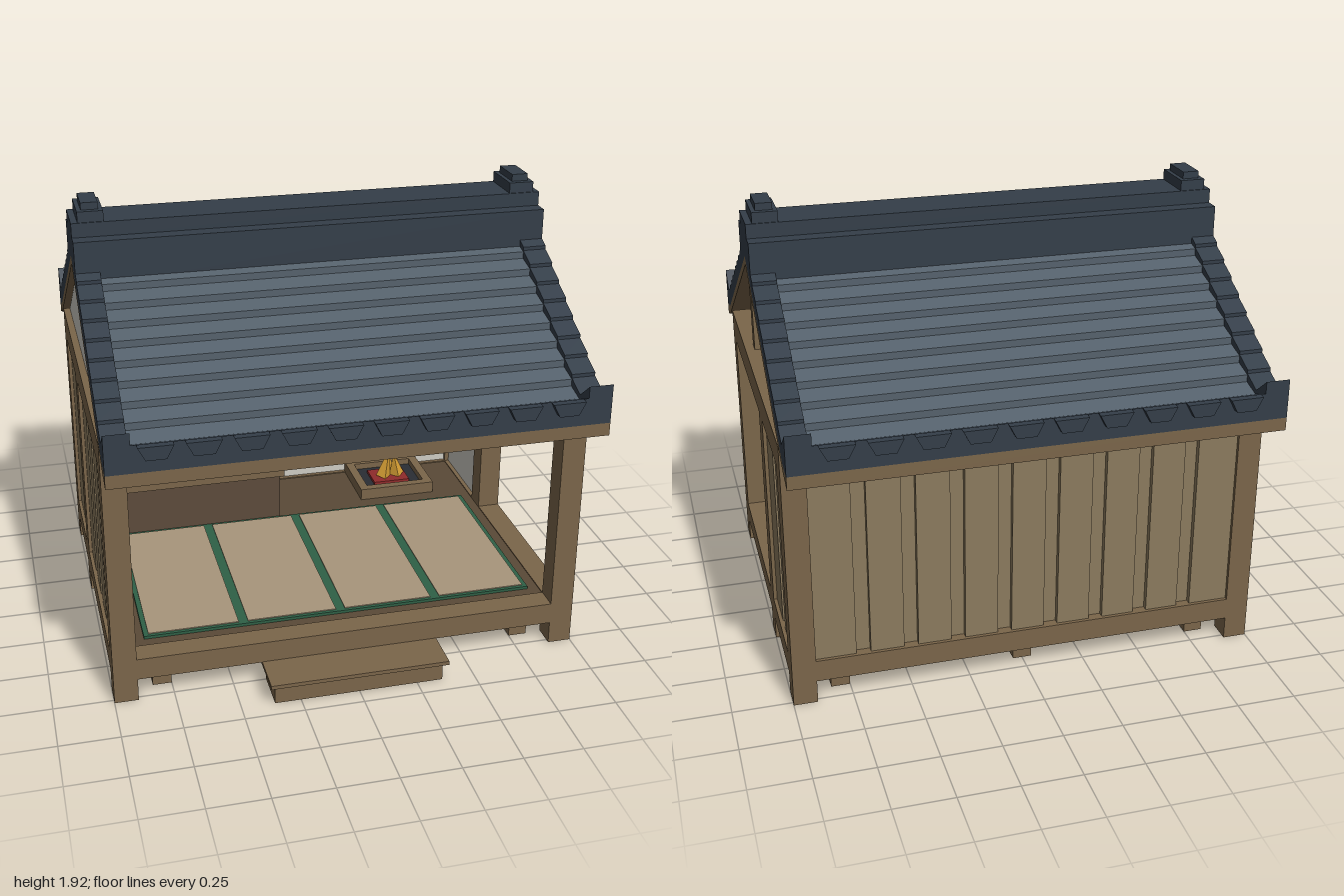
import * as THREE from 'three';

const mat = (color, extra = {}) => new THREE.MeshStandardMaterial({ color, flatShading: true, ...extra });
const M = {
  wood: mat(0x7b664a), board: mat(0x8c7b5e), plaster: mat(0xcfcdc4), under: mat(0x5a4a37),
  dark: mat(0x343e49), slate: mat(0x56626d), straw: mat(0xa8967c), green: mat(0x2f6046),
  chest: mat(0x5d4b3c), ash: mat(0x2a2e34), ember: mat(0x8f2b2b), fire: mat(0xd39c33),
};

export function createModel() {
  const root = new THREE.Group();
  const add = (name, geo, m, parent = root) => {
    const mesh = new THREE.Mesh(geo, m);
    mesh.name = name;
    parent.add(mesh);
    return mesh;
  };
  const group = (name) => {
    const g = new THREE.Group();
    g.name = name;
    root.add(g);
    return g;
  };
  // box given by its limits on each axis
  const box = (name, m, x0, x1, y0, y1, z0, z1, parent) => {
    const mesh = add(name, new THREE.BoxGeometry(x1 - x0, y1 - y0, z1 - z0), m, parent);
    mesh.position.set((x0 + x1) / 2, (y0 + y1) / 2, (z0 + z1) / 2);
    return mesh;
  };
  // [z, y] outline extruded from x0 to x1
  const prism = (name, m, pts, x0, x1, parent) => {
    const shape = new THREE.Shape(pts.map(([z, y]) => new THREE.Vector2(-z, y)));
    const geo = new THREE.ExtrudeGeometry(shape, { depth: x1 - x0, bevelEnabled: false });
    geo.rotateY(Math.PI / 2).translate(x0, 0, 0);
    return add(name, geo, m, parent);
  };

  // Posts, beams and short feet
  const frame = group('timberFrame');
  for (const s of [-1, 1]) {
    const x0 = s > 0 ? 0.9 : -1, x1 = x0 + 0.1;
    for (const [z0, z1] of [[0.67, 0.77], [-0.25, -0.15], [-0.77, -0.67]])
      box('post', M.wood, x0, x1, 0, 1.17, z0, z1, frame);
    for (const [z0, z1] of [[-0.15, 0.67], [-0.67, -0.25]]) {
      box('sideTopBeam', M.wood, x0, x1, 1.05, 1.17, z0, z1, frame);
      box('sideSill', M.wood, x0, x1, 0.1, 0.195, z0, z1, frame);
    }
    const z0 = s > 0 ? 0.67 : -0.77;
    box('longTopBeam', M.wood, -0.9, 0.9, 1.05, 1.17, z0, z0 + 0.1, frame);
    box('longSill', M.wood, -0.9, 0.9, 0.1, 0.195, z0, z0 + 0.1, frame);
    for (const x of [-0.79, 0, 0.79])
      box('foot', M.wood, x - 0.04, x + 0.04, 0, 0.1, s * 0.64 - 0.04, s * 0.64 + 0.04, frame);
  }
  box('floor', M.under, -0.9, 0.9, 0.105, 0.19, -0.67, 0.67);

  // Plaster inside, vertical boards outside
  const walls = group('walls');
  const boards = (from, to, n, place) => {
    const pitch = (to - from) / n;
    for (let i = 0; i < n; i++)
      place(from + i * pitch + (i ? 0.03 : 0), from + (i + 1) * pitch - (i < n - 1 ? 0.03 : 0));
  };
  box('backPlaster', M.plaster, -0.9, 0.9, 0.19, 1.05, -0.71, -0.69, walls);
  box('backCladding', M.board, -0.9, 0.9, 0.19, 1.05, -0.73, -0.71, walls);
  boards(-0.9, 0.9, 9, (a, b) => box('backBoard', M.board, a, b, 0.195, 1.05, -0.755, -0.73, walls));
  for (const [s, z0, z1, n] of [[-1, -0.15, 0.67, 4], [-1, -0.67, -0.25, 2], [1, -0.67, -0.25, 2]]) {
    const wall = (name, m, a, b, za, zb) =>
      box(name, m, Math.min(s * a, s * b), Math.max(s * a, s * b), 0.19, 1.05, za, zb, walls);
    wall('sidePlaster', M.plaster, 0.92, 0.94, z0, z1);
    wall('sideCladding', M.board, 0.94, 0.96, z0, z1);
    boards(z0, z1, n, (a, b) => wall('sideBoard', M.board, 0.96, 0.985, a, b));
  }
  // Closed gable on one end, open strutted gable on the other
  prism('gablePlaster', M.plaster, [[-0.77, 1.17], [0.77, 1.17], [0, 1.65]], -0.97, -0.93, walls);
  for (const z of [-0.275, 0.275]) box('gableStrut', M.wood, 0.89, 0.96, 1.17, 1.49, z - 0.032, z + 0.032, frame);
  box('gableCrossbar', M.wood, 0.895, 0.955, 1.385, 1.45, -0.245, 0.245, frame);

  // Roof: timber lining, then stepped tiles and thicker end rows on both slopes
  const roof = group('roof');
  const line = (z) => 1.68 - 0.6 * z;
  const lining = [[0.88, 1.115], [0.97, 1.085], [0.97, 1.14], [0.88, 1.152]];
  prism('roofLining', M.wood, [[0, 1.645], ...lining, [0, 1.68],
    ...lining.map(([z, y]) => [-z, y]).reverse()], -1, 1, roof);
  const steps = (lo, hi) => {
    const pts = [];
    for (let i = 0; i < 9; i++) {
      const a = 0.13 + i * 0.0835, b = a + 0.0835;
      pts.push([a, line(a) + lo], [b, line(b) + hi]);
    }
    return pts;
  };
  for (const s of [-1, 1]) {
    const side = (pts) => pts.map(([z, y]) => [s * z, y]);
    prism('tileField', M.slate, side([[0, 1.68], [0, 1.74], ...steps(0.035, 0.065), [0.88, 1.15]]), -0.9, 0.9, roof);
    prism('eaveBoard', M.dark, side([[0.86, 1.164], [0.88, 1.215], [0.97, 1.255], [0.97, 1.14], [0.88, 1.152]]), -0.9, 0.9, roof);
    for (const x of [-1, 0.9])
      prism('endTiles', M.dark, side([[0, 1.68], [0, 1.75], ...steps(0.07, 0.085), [0.885, 1.235],
        [0.97, 1.305], [0.97, 1.14], [0.88, 1.152]]), x, x + 0.1, roof);
    // Trapezoid tile ends along the eave
    for (let i = 0; i < 10; i++) {
      const shape = new THREE.Shape([[-0.04, 1.2], [0.04, 1.2], [0.068, 1.255], [-0.068, 1.255]]
        .map(([x, y]) => new THREE.Vector2(x, y)));
      const end = add('eaveTileEnd', new THREE.ExtrudeGeometry(shape, { depth: 0.03, bevelEnabled: false }), M.dark, roof);
      end.position.set(-0.81 + i * 0.18, 0, s > 0 ? 0.97 : -1);
    }
    box('ridgeOrnament', M.dark, s * 0.92 - 0.053, s * 0.92 + 0.053, 1.845, 1.89, -0.1, 0.1, roof);
    box('ridgeOrnamentTop', M.dark, s * 0.92 - 0.035, s * 0.92 + 0.035, 1.89, 1.92, -0.075, 0.075, roof);
  }
  prism('ridgeBase', M.dark, [[-0.17, 1.59], [0, 1.69], [0.17, 1.59], [0.17, 1.785], [-0.17, 1.785]], -1, 1, roof);
  box('ridgeCap', M.dark, -1, 1, 1.785, 1.845, -0.105, 0.105, roof);

  // Floor mats with cloth edging
  const mats = group('floorMats');
  box('matEdging', M.green, -0.85, 0.85, 0.19, 0.203, -0.27, 0.62, mats);
  for (let i = 0; i < 4; i++) {
    const x = -0.85 + i * 0.425;
    box('mat', M.straw, x + 0.02, x + 0.405, 0.195, 0.207, -0.255, 0.605, mats);
  }

  // Doorstep
  box('stepBlock', M.wood, -0.36, 0.36, 0, 0.085, 0.75, 0.925);
  box('stepPlank', M.wood, -0.38, 0.38, 0.085, 0.102, 0.75, 0.95);

  // Counter
  box('counterBody', M.chest, -0.9, -0.07, 0.19, 0.425, -0.67, -0.27);
  box('counterTop', M.wood, -0.9, -0.05, 0.425, 0.455, -0.68, -0.25);

  // Sunken hearth with fire
  const hearth = group('hearth');
  const [hx, hz, w, d] = [0.547, -0.52, 0.185, 0.16];
  for (const s of [-1, 1]) {
    box('hearthRim', M.wood, hx - w, hx + w, 0.19, 0.245, hz + s * (d - 0.02) - 0.02, hz + s * (d - 0.02) + 0.02, hearth);
    box('hearthRim', M.wood, hx + s * (w - 0.02) - 0.02, hx + s * (w - 0.02) + 0.02, 0.19, 0.245, hz - d + 0.04, hz + d - 0.04, hearth);
  }
  box('ash', M.ash, hx - w + 0.04, hx + w - 0.04, 0.19, 0.215, hz - d + 0.04, hz + d - 0.04, hearth);
  box('embers', M.ember, hx - 0.09, hx + 0.09, 0.215, 0.23, hz - 0.07, hz + 0.07, hearth);
  for (const [x, z, h, tilt] of [[-0.015, 0.01, 0.15, -0.2], [0.035, 0, 0.12, 0.15], [0.005, -0.035, 0.13, 0]]) {
    const flame = add('flame', new THREE.ConeGeometry(0.038, h, 4), M.fire, hearth);
    flame.position.set(hx + x, 0.23 + h / 2, hz + z);
    flame.rotation.z = tilt;
  }
  return root;
}
